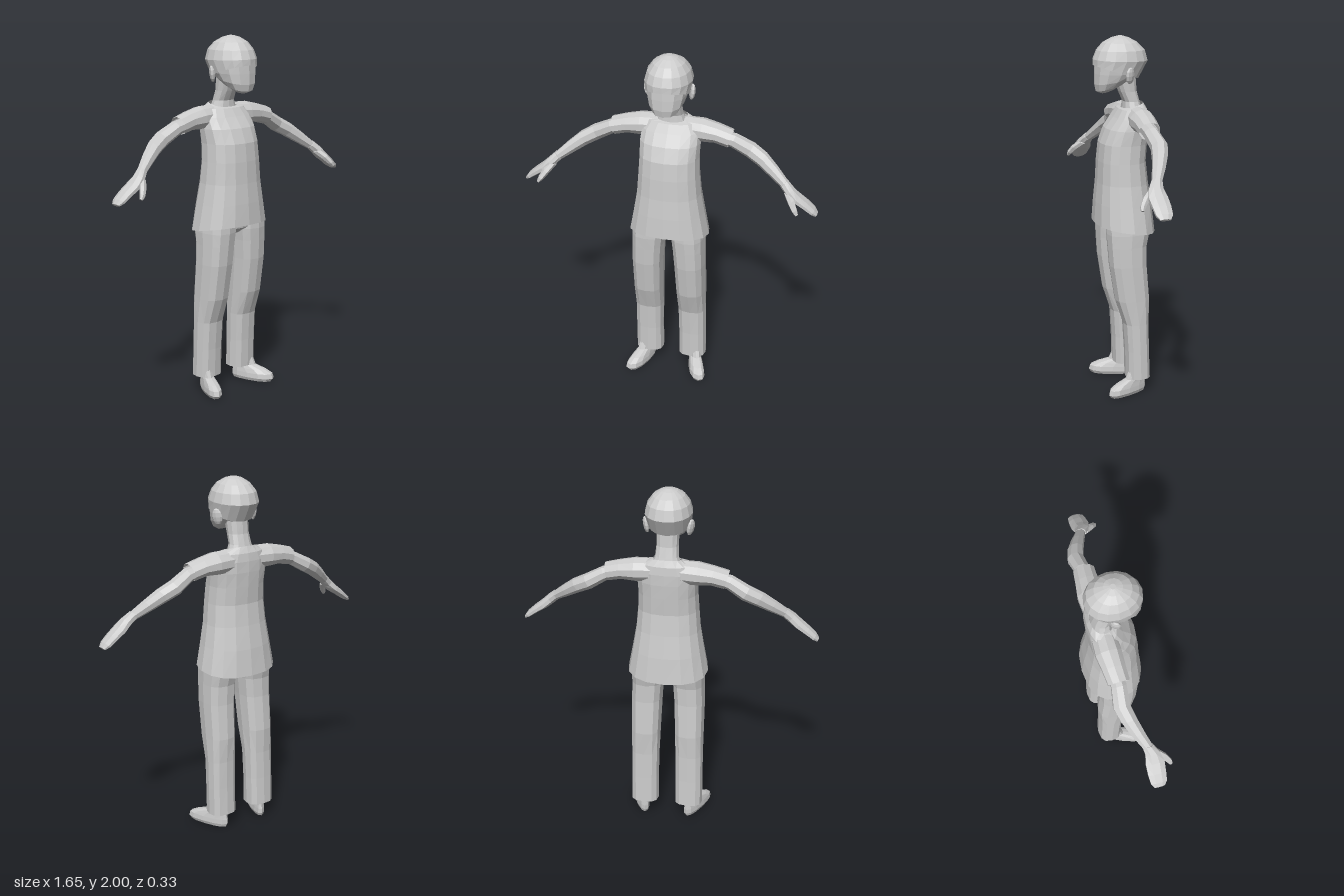
import * as THREE from 'three';

const SIDES = 12;
const material = new THREE.MeshStandardMaterial({
  color: 0xcccccc, flatShading: true, side: THREE.DoubleSide,
});

// signed power: rounds a circle off toward a soft box
const soft = (t, p) => Math.sign(t) * Math.abs(t) ** p;

// skin a list of equal-sized rings; side -1 mirrors across x
function loft(rings, { side = 1, capStart = false, capEnd = false } = {}) {
  const n = rings[0].length;
  const pos = [];
  const index = [];
  const add = (p) => pos.push(p.x * side, p.y, p.z);
  const tri = (a, b, c) => (side > 0 ? index.push(a, b, c) : index.push(a, c, b));
  rings.forEach((ring) => ring.forEach(add));
  for (let r = 0; r < rings.length - 1; r++) {
    for (let i = 0; i < n; i++) {
      const a = r * n + i, b = r * n + (i + 1) % n;
      tri(a, a + n, b);
      tri(b, a + n, b + n);
    }
  }
  const cap = (r, start) => {
    const centre = new THREE.Vector3();
    rings[r].forEach((p) => centre.addScaledVector(p, 1 / n));
    const c = pos.length / 3;
    add(centre);
    for (let i = 0; i < n; i++) {
      const a = r * n + i, b = r * n + (i + 1) % n;
      if (start) tri(c, a, b);
      else tri(c, b, a);
    }
  };
  if (capStart) cap(0, true);
  if (capEnd) cap(rings.length - 1, false);
  const geo = new THREE.BufferGeometry();
  geo.setAttribute('position', new THREE.Float32BufferAttribute(pos, 3));
  geo.setIndex(index);
  geo.computeVertexNormals();
  return geo;
}

// level ring: height, centre x, half width, front z, back z, rise toward the front
function level([y, cx, rx, zf, zb, tilt = 0], power = 0.85, n = SIDES) {
  return Array.from({ length: n }, (_, i) => {
    const a = (i / n) * Math.PI * 2;
    const s = soft(Math.sin(a), power);
    return new THREE.Vector3(
      cx + rx * soft(Math.cos(a), power), y + tilt * s, (zf + zb) / 2 + s * (zf - zb) / 2);
  });
}
const stack = (rows, options, power, n) => loft(rows.map((r) => level(r, power, n)), options);

// limb along stations of x, y, z, half depth in z, half thickness
function limb(stations, options, n = 8) {
  const rings = stations.map(([x, y, z, rz, rv], k) => {
    const p = stations[Math.max(k - 1, 0)];
    const q = stations[Math.min(k + 1, stations.length - 1)];
    const dir = new THREE.Vector2(q[0] - p[0], q[1] - p[1]).normalize();
    return Array.from({ length: n }, (_, i) => {
      const a = ((i + 0.5) / n) * Math.PI * 2;
      const v = Math.sin(a) * rv;
      return new THREE.Vector3(x - dir.y * v, y + dir.x * v, z + Math.cos(a) * rz);
    });
  });
  return loft(rings, options);
}

// shoe: rings that widen and swing outward toward the toe
function shoe(side) {
  const rows = [
    [0, 0, 0.036, 0.132, -0.088], [0.018, 0, 0.044, 0.145, -0.096],
    [0.045, 0, 0.042, 0.138, -0.096], [0.066, 0, 0.038, 0.1, -0.092],
    [0.088, 0, 0.034, 0.035, -0.088], [0.15, 0, 0.032, 0.01, -0.08],
  ];
  const rings = rows.map((r) => level(r));
  rings.flat().forEach((p) => {
    p.x = p.x * (1 + 1.5 * p.z) + 0.158 + 0.36 * p.z;
  });
  return loft(rings, { side, capStart: true });
}

export function createModel() {
  const model = new THREE.Group();
  const part = (name, geometry) => {
    const mesh = new THREE.Mesh(geometry, material);
    mesh.name = name;
    model.add(mesh);
    return mesh;
  };

  // shirt body, open at hem and collar
  part('shirt', stack([
    [0.945, 0, 0.225, 0.165, -0.165, 0.025], [1.08, 0, 0.2, 0.158, -0.15, 0.01],
    [1.2, 0, 0.18, 0.148, -0.13], [1.32, 0, 0.17, 0.142, -0.117],
    [1.42, 0, 0.165, 0.132, -0.125], [1.5, 0, 0.168, 0.1, -0.13],
    [1.56, 0, 0.165, 0.055, -0.13], [1.605, 0, 0.135, 0.025, -0.125],
    [1.625, 0, 0.085, 0.008, -0.108, -0.015],
  ], {}, 0.85, 16));

  // neck leaning forward
  part('neck', stack([
    [1.59, 0, 0.085, 0.005, -0.105], [1.645, 0, 0.064, 0.0, -0.09],
    [1.7, 0, 0.06, 0.025, -0.075], [1.77, 0, 0.062, 0.05, -0.07],
  ]));

  // face and skull
  part('head', stack([
    [1.705, 0, 0.04, 0.125, 0.05, -0.012], [1.725, 0, 0.07, 0.153, 0.0, -0.02],
    [1.76, 0, 0.093, 0.161, -0.05, -0.018], [1.8, 0, 0.106, 0.16, -0.085],
    [1.85, 0, 0.113, 0.157, -0.11], [1.9, 0, 0.105, 0.14, -0.11],
  ], { capStart: true, capEnd: true }, 0.85));

  // cap of hair, rim dropping behind the ears
  part('hairCap', stack([
    [1.808, 0, 0.118, 0.167, -0.082, 0.038], [1.872, 0, 0.128, 0.167, -0.136, 0.005],
    [1.925, 0, 0.114, 0.147, -0.12], [1.965, 0, 0.085, 0.112, -0.08],
    [1.99, 0, 0.048, 0.065, -0.032], [2, 0, 0.015, 0.03, 0],
  ], { capEnd: true }, 0.95, 16));

  // trouser seat
  part('trouserSeat', stack([
    [0.905, 0, 0.06, 0.05, -0.06], [0.945, 0, 0.18, 0.11, -0.1],
    [1.06, 0, 0.175, 0.125, -0.11],
  ], { capStart: true }));

  for (const side of [1, -1]) {
    const label = side > 0 ? 'left' : 'right';

    part(`${label}Ear`, new THREE.SphereGeometry(1, 8, 6)
      .scale(0.015, 0.046, 0.03)
      .rotateY(side * 0.5).rotateZ(side * -0.15)
      .translate(side * 0.12, 1.797, -0.005));

    part(`${label}TrouserLeg`, stack([
      [0.088, 0.129, 0.08, 0.022, -0.113], [0.25, 0.129, 0.08, 0.026, -0.107],
      [0.41, 0.127, 0.081, 0.036, -0.104], [0.55, 0.125, 0.083, 0.083, -0.11],
      [0.75, 0.122, 0.087, 0.114, -0.095], [0.86, 0.117, 0.09, 0.122, -0.096],
      [0.93, 0.112, 0.094, 0.127, -0.112], [1.02, 0.108, 0.09, 0.125, -0.112],
    ], { side }, 0.75));

    part(`${label}Shoe`, shoe(side));

    part(`${label}Sleeve`, limb([
      [0.07, 1.56, -0.055, 0.066, 0.065], [0.17, 1.558, -0.056, 0.072, 0.064],
      [0.25, 1.55, -0.052, 0.064, 0.053], [0.325, 1.53, -0.047, 0.06, 0.051],
    ], { side }, 10));

    part(`${label}Arm`, limb([
      [0.24, 1.54, -0.05, 0.04, 0.038], [0.34, 1.518, -0.052, 0.043, 0.04],
      [0.43, 1.468, -0.064, 0.047, 0.044], [0.5, 1.43, -0.045, 0.045, 0.042],
      [0.57, 1.38, -0.015, 0.038, 0.035], [0.65, 1.32, 0.024, 0.028, 0.024],
    ], { side, capEnd: true }));

    // mitten-like palm and fingers
    part(`${label}Hand`, limb([
      [0.632, 1.336, 0.018, 0.031, 0.027], [0.67, 1.3, 0.035, 0.042, 0.028],
      [0.71, 1.265, 0.036, 0.054, 0.025], [0.76, 1.23, 0.033, 0.052, 0.02],
      [0.8, 1.198, 0.032, 0.047, 0.016], [0.82, 1.18, 0.032, 0.03, 0.009],
    ], { side, capStart: true, capEnd: true }));

    part(`${label}Thumb`, limb([
      [0.655, 1.3, 0.045, 0.024, 0.02], [0.685, 1.265, 0.085, 0.024, 0.02],
      [0.71, 1.23, 0.112, 0.018, 0.016], [0.725, 1.208, 0.121, 0.01, 0.009],
    ], { side, capStart: true, capEnd: true }, 6));
  }
  return model;
}
